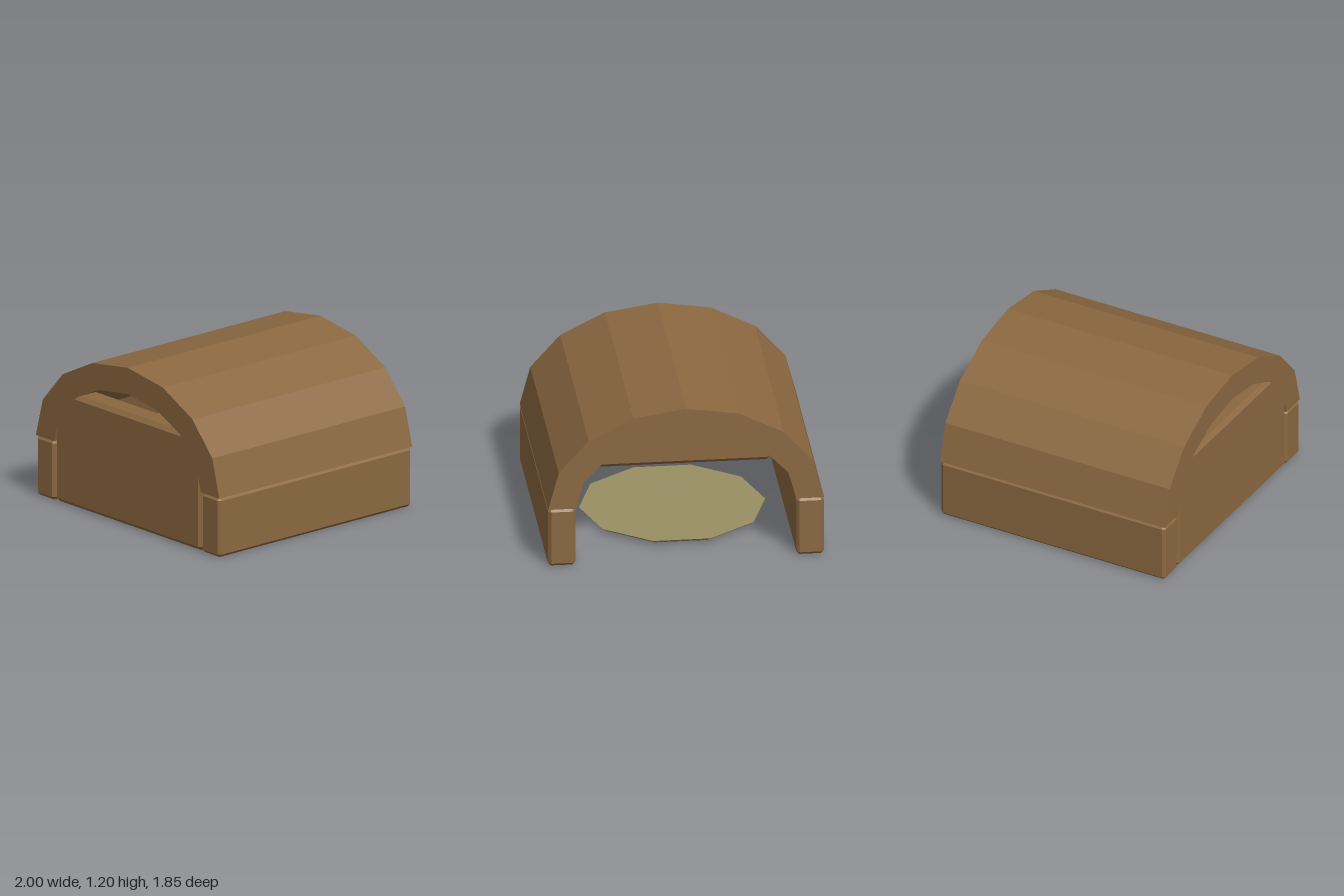
import * as THREE from 'three';
import { ConvexGeometry } from 'three/addons/geometries/ConvexGeometry.js';

const DEPTH = 1.85;
const SPRING = 0.45; // height where the vault rests on the walls

const wood = new THREE.MeshStandardMaterial({ color: 0x8b6840, flatShading: true });
const straw = new THREE.MeshStandardMaterial({ color: 0x9a8f63, flatShading: true });

// Box with 45-degree chamfers on every edge, standing on y = 0
function chamferedBox(w, h, d, c) {
  const half = [w / 2, h / 2, d / 2];
  const points = [];
  for (const sx of [-1, 1]) for (const sy of [-1, 1]) for (const sz of [-1, 1]) {
    for (let face = 0; face < 3; face++) {
      const p = half.map((v, axis) => (axis === face ? v : v - c));
      points.push(new THREE.Vector3(sx * p[0], sy * p[1] + h / 2, sz * p[2]));
    }
  }
  return new ConvexGeometry(points);
}

// Half ellipse of straight facets, from +x over the top to -x
function archPoints(rx, ry, facets = 8) {
  return Array.from({ length: facets + 1 }, (_, i) => {
    const a = (i / facets) * Math.PI;
    return new THREE.Vector2(rx * Math.cos(a), SPRING + ry * Math.sin(a));
  });
}

export function createModel() {
  const model = new THREE.Group();
  model.name = 'shelter';
  const add = (name, geometry, material, x = 0, y = 0, z = 0) => {
    const mesh = new THREE.Mesh(geometry, material);
    mesh.name = name;
    mesh.position.set(x, y, z);
    model.add(mesh);
    return mesh;
  };

  // Vaulted roof
  const section = new THREE.Shape([...archPoints(1, 0.75), ...archPoints(0.8, 0.55).reverse()]);
  add('vaultedRoof', new THREE.ExtrudeGeometry(section, { depth: DEPTH, bevelEnabled: false }),
    wood, 0, 0, -DEPTH / 2);

  // Low side walls
  for (const side of [-1, 1]) {
    add(side > 0 ? 'leftWall' : 'rightWall', chamferedBox(0.2, SPRING, DEPTH, 0.022), wood, side * 0.9);
  }

  // Panel closing the front, flush with the roof's end
  const thickness = 0.2;
  add('frontPanel', chamferedBox(1.6, 0.85, thickness, 0.03), wood, 0, 0, (DEPTH - thickness) / 2);

  // Ten-sided floor mat, narrower underneath, with a corner on the x axis
  const mat = add('floorMat', new THREE.CylinderGeometry(0.675, 0.62, 0.035, 10), straw, 0, 0.0175, 0);
  mat.rotation.y = Math.PI / 2;

  return model;
}
